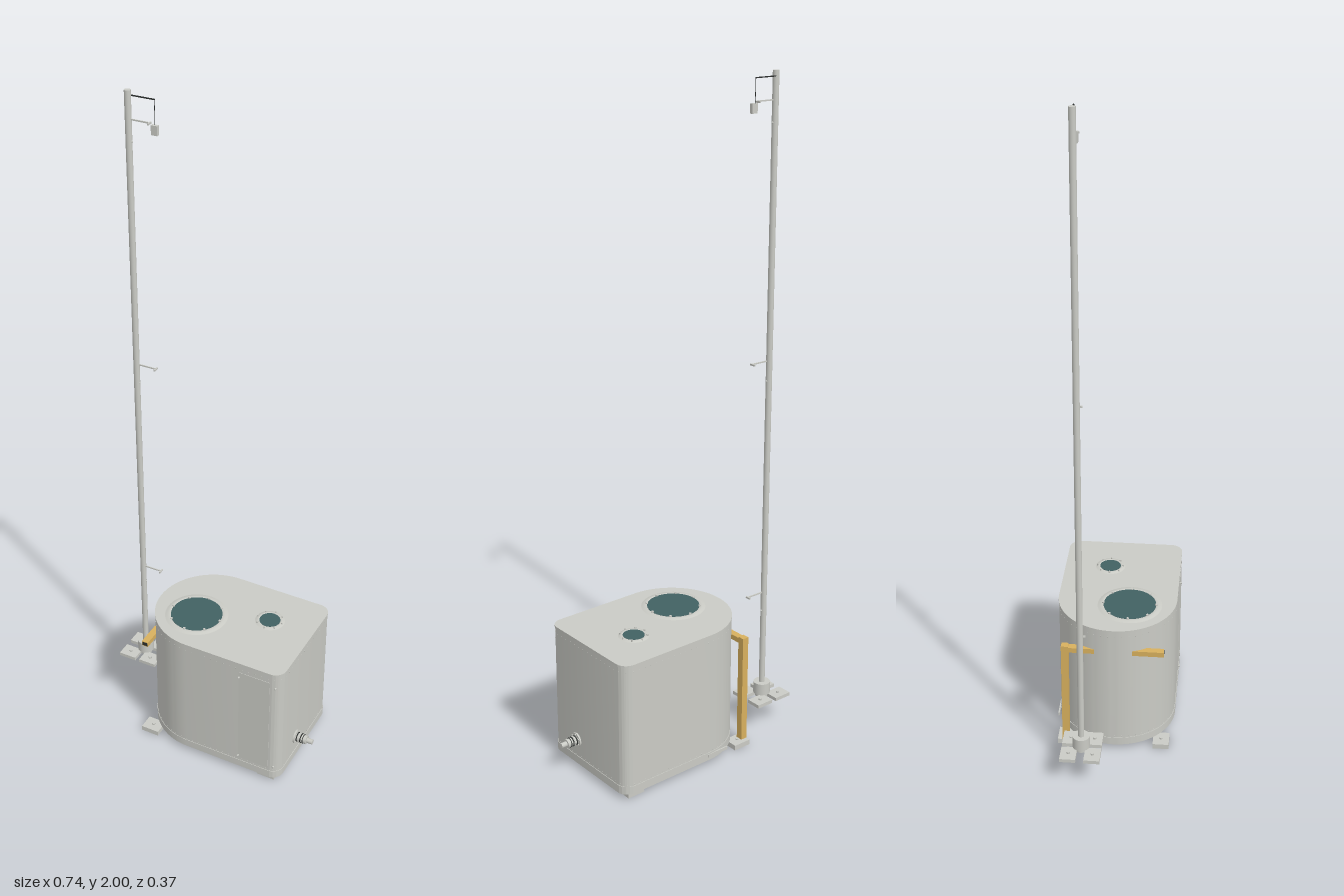
import * as THREE from 'three';
import { toCreasedNormals } from 'three/addons/utils/BufferGeometryUtils.js';

const mat = (name, color) => {
  const m = new THREE.MeshStandardMaterial({ color });
  m.name = name;
  return m;
};

export function createModel() {
  const root = new THREE.Group();
  root.name = 'tankWithMast';
  const grey = mat('paintedGrey', 0xcacbc5);
  const dark = mat('darkRubber', 0x2c2f2e);
  const glass = mat('tealGlass', 0x426163);
  const ochre = mat('ochre', 0xd8b05e);
  const green = mat('trayGreen', 0x2c5a38);
  const red = mat('tagRed', 0x9a3028);

  const add = (name, geo, m, x = 0, y = 0, z = 0, parent = root) => {
    const mesh = new THREE.Mesh(geo, m);
    mesh.name = name;
    mesh.position.set(x, y, z);
    parent.add(mesh);
    return mesh;
  };
  const group = (name, x = 0, y = 0, z = 0) => {
    const g = new THREE.Group();
    g.name = name;
    g.position.set(x, y, z);
    root.add(g);
    return g;
  };
  // Box given by its limits
  const box = (name, m, [x0, x1], [y0, y1], [z0, z1], parent = root) =>
    add(name, new THREE.BoxGeometry(x1 - x0, y1 - y0, z1 - z0), m,
      (x0 + x1) / 2, (y0 + y1) / 2, (z0 + z1) / 2, parent);
  const cyl = (r, h, n = 24) => new THREE.CylinderGeometry(r, r, h, n);

  // Plan outline: round on the right end, square with soft corners on the left end
  const CZ = -0.003, R = 0.178, CX = -0.007, XE = 0.309;
  const plan = (out = 0) => {
    const r = R + out, e = XE + out, c = 0.035 + out;
    const s = new THREE.Shape();
    s.moveTo(CX, -r);
    s.lineTo(e - c, -r);
    s.absarc(e - c, -r + c, c, -Math.PI / 2, 0, false);
    s.lineTo(e, r - c);
    s.absarc(e - c, r - c, c, 0, Math.PI / 2, false);
    s.lineTo(CX, r);
    s.absarc(CX, 0, r, Math.PI / 2, Math.PI * 1.5, false);
    return s;
  };
  const slab = (name, out, y0, y1, hollow) => {
    const shape = plan(out);
    if (hollow) shape.holes.push(plan(-0.005));
    const g = new THREE.ExtrudeGeometry(shape, { depth: y1 - y0, curveSegments: 32, bevelEnabled: false });
    g.rotateX(-Math.PI / 2);
    return add(name, toCreasedNormals(g, 0.6), grey, 0, y0, CZ);
  };

  // Tank: open shell with a base band and a lid
  slab('baseSkirt', 0.0015, 0.016, 0.041, true);
  slab('tankShell', 0, 0.041, 0.424, true);
  slab('lid', 0.0015, 0.424, 0.43, false);

  // Rows of small bolts around the shell
  const outline = plan(0.0003).getSpacedPoints(72);
  for (const y of [0.047, 0.408]) {
    const row = group('boltRow', 0, y, CZ);
    outline.slice(0, -1).forEach((p) =>
      add('shellBolt', new THREE.SphereGeometry(0.0012, 6, 4), grey, p.x, 0, -p.y, row));
  }

  // Feet
  for (const [x0, x1] of [[-0.175, -0.117], [0.234, 0.291]]) {
    for (const [z0, z1] of [[-0.173, -0.125], [0.117, 0.166]]) {
      box('foot', grey, [x0, x1], [0, 0.016], [z0, z1]);
      if (x0 < 0) add('footBolt', cyl(0.005, 0.005, 6), grey, -0.146, 0.018, (z0 + z1) / 2);
    }
  }

  // Underside equipment tray with small red and dark fittings
  box('undersidePlate', dark, [-0.04, 0.3], [0.022, 0.026], [-0.172, 0.166]);
  for (let i = 0; i < 6; i++) {
    for (let j = 0; j < 6; j++) {
      const x = -0.034 + i * 0.055, z = -0.134 + j * 0.049;
      box('trayCell', green, [x, x + 0.042], [0.018, 0.023], [z, z + 0.034]);
      if ((i + 2 * j) % 3 === 0) {
        box('redTag', red, [x + 0.01, x + 0.03], [0.016, 0.019], [z + 0.012, z + 0.022]);
      }
    }
  }
  for (const x of [0.0, 0.15]) box('trayPanel', grey, [x, x + 0.06], [0.0165, 0.023], [-0.162, -0.142]);

  // Round windows with a low swollen rim and eight bolts
  const porthole = (name, x, z, rGlass, rOuter, rBolt, size) => {
    const g = group(name, x, 0.43, z);
    const rim = [[rOuter, 0], [rOuter - 0.004, 0.001], [(rOuter + rGlass) / 2, 0.003],
      [rGlass + 0.003, 0.0035], [rGlass, 0.0015]].map(([a, b]) => new THREE.Vector2(a, b));
    add('rim', new THREE.LatheGeometry(rim, 64), grey, 0, 0, 0, g);
    add('glass', cyl(rGlass + 0.001, 0.006, 64), glass, 0, 0, 0, g);
    for (let i = 0; i < 8; i++) {
      const a = (i * Math.PI) / 4;
      add('rimBolt', cyl(size, 0.007, 8), grey, rBolt * Math.cos(a), 0.0035, rBolt * Math.sin(a), g);
    }
  };
  porthole('largeWindow', -0.044, 0.036, 0.078, 0.097, 0.08, 0.004);
  porthole('smallWindow', 0.167, -0.042, 0.031, 0.046, 0.04, 0.0025);

  // Narrow front door, barely proud of the shell, with knobs along both edges
  box('doorPanel', grey, [0.172, 0.274], [0.052, 0.395], [0.17, 0.1762]);
  for (const [x, z] of [[0.173, 0.1775], [0.29, 0.171]]) {
    for (const y of [0.06, 0.377]) {
      add('doorKnob', cyl(0.003, 0.01, 10), grey, x, y, z).rotation.x = Math.PI / 2;
    }
  }
  box('backStrip', grey, [-0.076, 0.0], [0.026, 0.036], [-0.184, -0.18]);

  // Outlet valve on the flat end
  const valve = group('outletValve', 0, 0.095, 0.053);
  for (const [name, x0, x1, r, m] of [
    ['flange', 0.306, 0.314, 0.022, grey], ['neck', 0.314, 0.348, 0.0135, grey],
    ['gasket', 0.316, 0.319, 0.015, dark], ['collar', 0.321, 0.326, 0.015, grey],
    ['gasket', 0.328, 0.331, 0.015, dark], ['gasket', 0.336, 0.338, 0.0145, dark],
    ['spout', 0.348, 0.367, 0.008, grey]]) {
    add(name, cyl(r, x1 - x0), m, (x0 + x1) / 2, 0, 0, valve).rotation.z = Math.PI / 2;
  }
  for (let i = 0; i < 6; i++) {
    const a = (i * Math.PI) / 3;
    add('flangeBolt', cyl(0.0025, 0.004, 6), grey, 0.315, 0.018 * Math.cos(a), 0.018 * Math.sin(a), valve)
      .rotation.z = Math.PI / 2;
  }

  // Ochre post and hollow cross arm at the rounded end, passing through the shell
  box('sidePost', ochre, [-0.176, -0.155], [0.016, 0.359], [-0.158, -0.137]);
  box('crossArm', ochre, [-0.176, -0.155], [0.339, 0.355], [-0.137, 0.147]);
  box('armOpening', dark, [-0.174, -0.157], [0.341, 0.353], [0.146, 0.1475]);

  // Mast with four foot pads
  const mast = group('mast', -0.3025, 0, -0.0855);
  add('pole', cyl(0.0092, 1.9), grey, 0, 1.05, 0, mast);
  add('poleSocket', cyl(0.026, 0.037, 32), grey, 0, 0.118, 0, mast);
  add('poleHub', cyl(0.02, 0.014, 32), grey, 0, 0.095, 0, mast);
  for (const sx of [-1, 1]) {
    for (const sz of [-1, 1]) {
      const x = sx * 0.0365, z = sz * 0.0355 + 0.001;
      add('pad', new THREE.BoxGeometry(0.058, 0.011, 0.047), grey, x, 0.0925, z, mast);
      add('padBolt', cyl(0.005, 0.006, 6), grey, x, 0.1, z, mast);
    }
  }

  // Bracket arms with end plates
  for (const y of [1.92, 1.18, 0.443]) {
    box('bracketArm', grey, [0.005, 0.064], [y - 0.001, y + 0.003], [-0.001, 0.002], mast);
    box('bracketEnd', grey, [0.062, 0.066], [y - 0.003, y + 0.002], [-0.009, 0.009], mast);
    add('poleKnob', new THREE.SphereGeometry(0.003, 10, 8), grey, 0.009, y - 0.06, 0, mast);
  }

  // Top rod with a lamp hanging on a thin wire
  box('topRod', dark, [0, 0.079], [1.983, 1.986], [-0.007, -0.004], mast);
  add('dropWire', cyl(0.0008, 0.07, 6), dark, 0.078, 1.95, -0.0045, mast);
  box('lamp', grey, [0.07, 0.089], [1.89, 1.917], [-0.006, 0.004], mast);

  return root;
}
